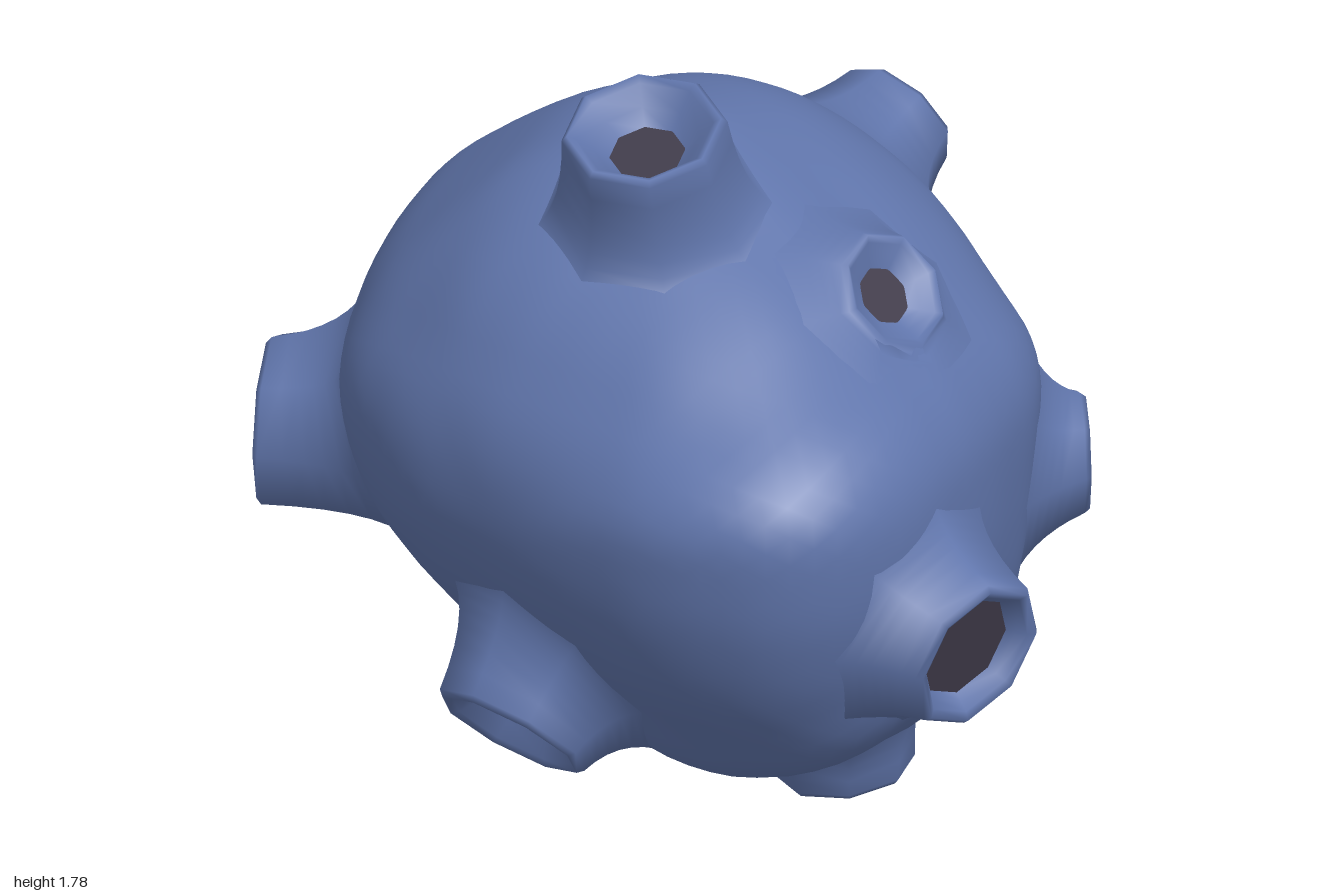
import * as THREE from 'three';
import { mergeVertices } from 'three/addons/utils/BufferGeometryUtils.js';

const CENTER = new THREE.Vector3(0, 0.9, 0);
const SIDES = 8;

// Body outlines around the centre: front (x, y), side (z, y) and top (x, z)
const FRONT = [[0.67, 0], [0.68, 0.15], [0.62, 0.35], [0.5, 0.52], [0.3, 0.65], [-0.06, 0.73], [-0.4, 0.62], [-0.6, 0.47],
  [-0.77, 0.2], [-0.76, -0.06], [-0.66, -0.28], [-0.4, -0.6], [0.03, -0.755], [0.28, -0.72], [0.46, -0.57], [0.6, -0.3]];
const SIDE = [[0.84, 0], [0.82, 0.25], [0.62, 0.37], [0.42, 0.52], [0.2, 0.64], [-0.06, 0.73], [-0.3, 0.7], [-0.5, 0.58],
  [-0.74, 0.4], [-0.88, 0.17], [-0.89, -0.02], [-0.8, -0.28], [-0.55, -0.52], [-0.1, -0.735], [0.3, -0.74],
  [0.5, -0.65], [0.7, -0.52], [0.78, -0.38], [0.83, -0.18]];
const TOP = [[0.65, 0.1], [0.62, 0.25], [0.5, 0.48], [0.35, 0.62], [0, 0.77], [-0.33, 0.85], [-0.63, 0.79], [-0.77, 0.5],
  [-0.76, 0.18], [-0.7, -0.3], [-0.58, -0.57], [-0.35, -0.75], [-0.06, -0.9], [0.27, -0.85], [0.48, -0.68],
  [0.6, -0.45], [0.65, -0.2]];
// Reach of the body along each axis: [positive, negative]
const REACH = { x: [0.67, 0.765], y: [0.72, 0.75], z: [0.84, 0.895] };

// Spouts: rim centre, facing direction, rim radius, hole ratio, funnel depth, flare of the base
const SPOUTS = [
  { name: 'topSpout', at: [-0.35, 1.74, 0.1], dir: [-0.32, 1, 0.14], r: 0.18, hole: 0.44, depth: 0.08, flare: 1.6 },
  { name: 'upperFrontSpout', at: [-0.02, 1.37, 0.53], dir: [0, 0.6, 0.8], r: 0.14, hole: 0.44, depth: 0.045, flare: 1.6 },
  { name: 'upperLeftSpout', at: [0.73, 1.335, -0.1], dir: [0.89, 0.44, 0], r: 0.14, hole: 0.45, depth: 0.05, flare: 1.8 },
  { name: 'lowerFrontSpout', at: [-0.23, 0.7, 0.95], dir: [-0.1, -0.22, 1], r: 0.18, hole: 0.66, depth: 0.05, flare: 1.6 },
  { name: 'frontLeftSpout', at: [0.56, 0.79, 0.57], dir: [0.72, 0, 0.69], r: 0.14, hole: 0.46, depth: 0.06, flare: 1.7 },
  { name: 'bottomSpout', at: [0.24, 0.025, 0.16], dir: [0.1, -1, 0.06], r: 0.155, hole: 0.5, depth: 0.07, flare: 1.9 },
  { name: 'lowerRightSpout', at: [-0.665, 0.375, -0.01], dir: [-0.7, -0.7, 0], r: 0.18, hole: 0.46, depth: 0.08, flare: 1.6 },
  { name: 'backSpout', at: [-0.435, 0.77, -0.9], dir: [-0.52, 0, -0.85], r: 0.195, hole: 0.46, depth: 0.1, flare: 1.6 },
  { name: 'lowerBackSpout', at: [0.52, 0.42, -0.51], dir: [0.56, -0.67, -0.49], r: 0.13, hole: 0.5, depth: 0.05, flare: 1.9 },
].map((s) => ({ ...s, at: new THREE.Vector3(...s.at), dir: new THREE.Vector3(...s.dir).normalize() }));

// Distance from the centre to an outline at one angle
function rayRadius(outline, angle) {
  const c = Math.cos(angle), s = Math.sin(angle);
  let best = 0;
  outline.forEach(([ax, ay], i) => {
    const [bx, by] = outline[(i + 1) % outline.length];
    const sideA = c * ay - s * ax, sideB = c * by - s * bx;
    if (sideA > 0 === sideB > 0) return;
    const t = sideA / (sideA - sideB);
    best = Math.max(best, c * (ax + t * (bx - ax)) + s * (ay + t * (by - ay)));
  });
  return best;
}

// Inverse square reach within one outline, with its corners softened
function outlineTerm(outline, u, v) {
  const angle = Math.atan2(v, u);
  let radius = 0;
  for (let k = -2; k <= 2; k++) radius += rayRadius(outline, angle + k * 0.06) / 5;
  return (u * u + v * v) / (radius * radius);
}

// Blends the three outlines into one rounded body
function bodyRadius(d) {
  let sum = outlineTerm(FRONT, d.x, d.y) + outlineTerm(SIDE, d.z, d.y) + outlineTerm(TOP, d.x, d.z);
  for (const axis of ['x', 'y', 'z']) sum -= (d[axis] / REACH[axis][d[axis] > 0 ? 0 : 1]) ** 2;
  return 1 / Math.sqrt(sum);
}

// Point in the direction of p, at a multiple of the body radius
function ontoBody(p, scale) {
  const d = p.sub(CENTER).normalize();
  return d.multiplyScalar(bodyRadius(d) * scale).add(CENTER);
}

function bodyGeometry() {
  let geo = new THREE.IcosahedronGeometry(1, 18);
  geo.deleteAttribute('uv');
  geo.deleteAttribute('normal');
  geo = mergeVertices(geo, 1e-4);
  const pos = geo.attributes.position;
  const p = new THREE.Vector3(), rel = new THREE.Vector3();
  for (let i = 0; i < pos.count; i++) {
    ontoBody(p.fromBufferAttribute(pos, i).add(CENTER), 1);
    // sink the surface beneath each spout so its funnel stays clear
    for (const s of SPOUTS) {
      rel.subVectors(p, s.at);
      const along = rel.dot(s.dir);
      const off = Math.sqrt(Math.max(0, rel.lengthSq() - along * along));
      const excess = along + s.depth + 0.04;
      if (off < s.r * 0.85 && along > -0.4 && excess > 0) p.addScaledVector(s.dir, -excess);
    }
    pos.setXYZ(i, p.x, p.y, p.z);
  }
  geo.computeVertexNormals();
  return geo;
}

// Neck: flares smoothly out of the body, turns over the rim and runs down the funnel
function neckGeometry({ at, dir, r, hole, depth, flare }) {
  const u = new THREE.Vector3(Math.abs(dir.y) > 0.8 ? 1 : 0, Math.abs(dir.y) > 0.8 ? 0 : 1, 0);
  u.addScaledVector(dir, -u.dot(dir)).normalize();
  const v = new THREE.Vector3().crossVectors(dir, u);
  const ringPoint = (k, h, a) => at.clone().addScaledVector(dir, h)
    .addScaledVector(u, Math.cos(a) * k * r).addScaledVector(v, Math.sin(a) * k * r);
  const inner = [[0.93, 0], [0.83, -0.01], [(0.83 + hole) / 2, -depth * 0.6], [hole, -depth]];
  const columns = [];
  for (let j = 0; j < SIDES; j++) {
    const a = (j / SIDES) * Math.PI * 2;
    const skirt = new THREE.QuadraticBezierCurve3(
      ontoBody(ringPoint(flare, -0.25, a), 0.985), ontoBody(ringPoint(1.12, -0.2, a), 1.02), ringPoint(1, -0.012, a));
    columns.push([...skirt.getPoints(7), ...inner.map(([k, h]) => ringPoint(k, h, a))]);
  }
  const rows = columns[0].length;
  const index = [];
  for (let j = 0; j < SIDES; j++) {
    for (let i = 0; i < rows - 1; i++) {
      const a = j * rows + i, b = ((j + 1) % SIDES) * rows + i;
      index.push(a, b, a + 1, b, b + 1, a + 1);
    }
  }
  const geo = new THREE.BufferGeometry().setFromPoints(columns.flat());
  geo.setIndex(index);
  geo.computeVertexNormals();
  return geo;
}

function makeSpout(s, skin, dark) {
  const group = new THREE.Group();
  group.name = s.name;
  const neck = new THREE.Mesh(neckGeometry(s), skin);
  neck.name = 'neck';
  // dark opening at the bottom of the funnel
  const opening = new THREE.Mesh(new THREE.CircleGeometry(s.r * s.hole * 1.05, 16), dark);
  opening.name = 'opening';
  opening.quaternion.setFromUnitVectors(new THREE.Vector3(0, 0, 1), s.dir);
  opening.position.copy(s.at).addScaledVector(s.dir, 0.003 - s.depth);
  group.add(neck, opening);
  return group;
}

export function createModel() {
  const skin = new THREE.MeshStandardMaterial({ color: 0x6075ab });
  skin.name = 'slate blue';
  const dark = new THREE.MeshStandardMaterial({ color: 0x3f3a49 });
  dark.name = 'dark hollow';

  const model = new THREE.Group();
  model.name = 'spoutedBlob';
  const body = new THREE.Mesh(bodyGeometry(), skin);
  body.name = 'body';
  model.add(body);
  for (const s of SPOUTS) model.add(makeSpout(s, skin, dark));
  return model;
}
